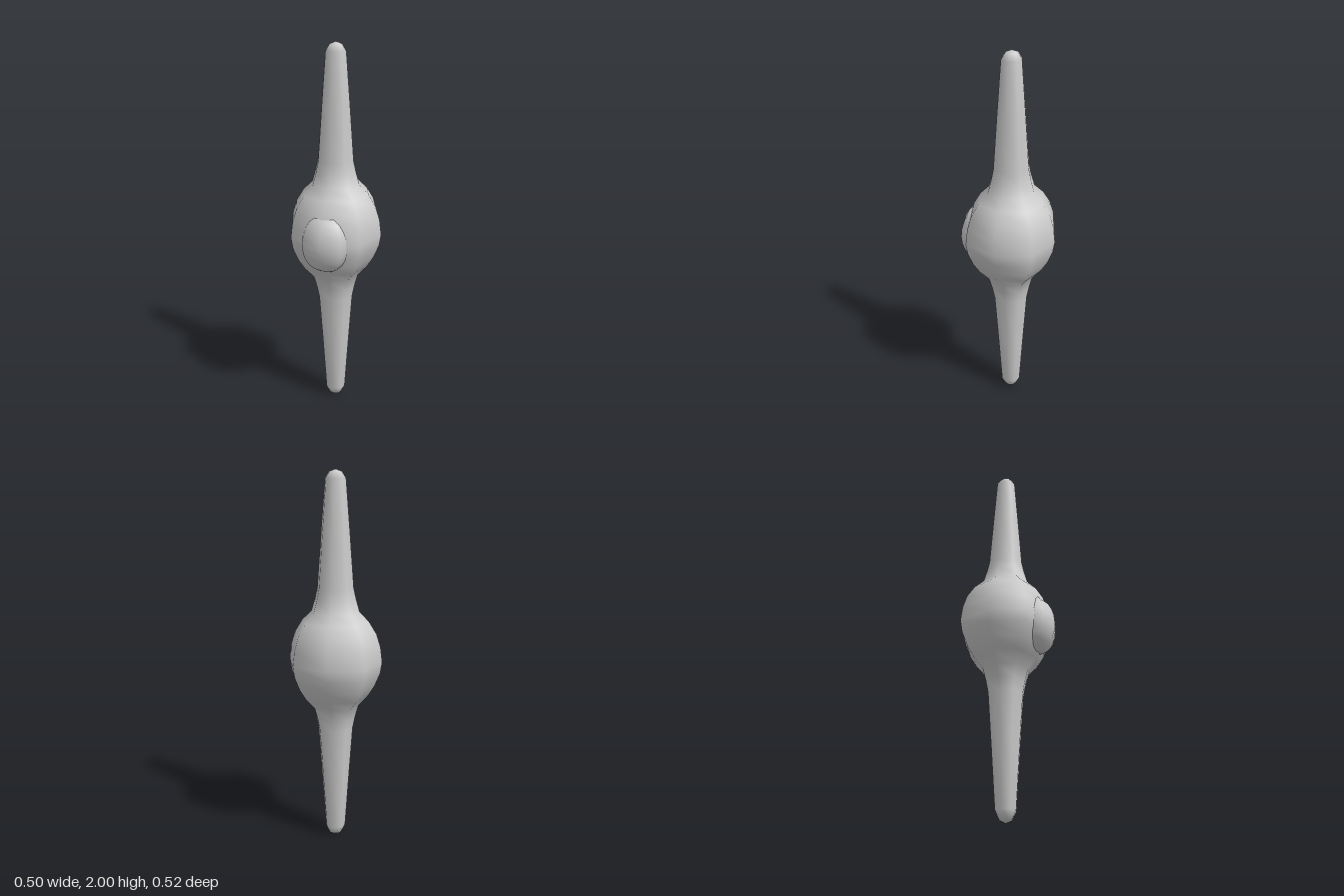
import * as THREE from 'three';

const material = new THREE.MeshStandardMaterial({ color: 0xcccccc });

// Smooth eight-sided turned form whose diagonal corners bulge slightly outward
function turned(name, profile) {
  const points = profile.map(([r, y]) => new THREE.Vector2(r, y));
  const geometry = new THREE.LatheGeometry(points, 8);
  const p = geometry.attributes.position;
  for (let i = 0; i < p.count; i++) {
    const diagonal = Math.abs(Math.sin(2 * Math.atan2(p.getX(i), p.getZ(i))));
    const k = 1 + 0.06 * diagonal;
    p.setX(i, p.getX(i) * k);
    p.setZ(i, p.getZ(i) * k);
  }
  const mesh = new THREE.Mesh(geometry, material);
  mesh.name = name;
  return mesh;
}

export function createModel() {
  const group = new THREE.Group();

  // Round middle running into a tapered spike above and below
  const body = turned('spikedBody', [
    [0, 0], [0.033, 0.015], [0.055, 0.06], [0.075, 0.36], [0.095, 0.645],
    [0.108, 0.71], [0.126, 0.775], [0.175, 0.83], [0.212, 0.89], [0.24, 0.96],
    [0.25, 1.02], [0.24, 1.1], [0.218, 1.17], [0.178, 1.235], [0.128, 1.285],
    [0.108, 1.355], [0.096, 1.41], [0.075, 1.69], [0.054, 1.955], [0.033, 1.988], [0, 2],
  ]);
  body.position.z = -0.017;
  body.scale.z = 0.972;
  group.add(body);

  // Oval button half sunk into the front of the middle
  const oval = [];
  for (let i = 0; i <= 12; i++) {
    const a = (i / 12) * Math.PI;
    oval.push([i % 12 ? Math.sin(a) : 0, -Math.cos(a)]);
  }
  const button = turned('frontButton', oval);
  button.position.set(0, 1.012, 0.14);
  button.scale.set(0.138, 0.162, 0.118);
  group.add(button);

  return group;
}
